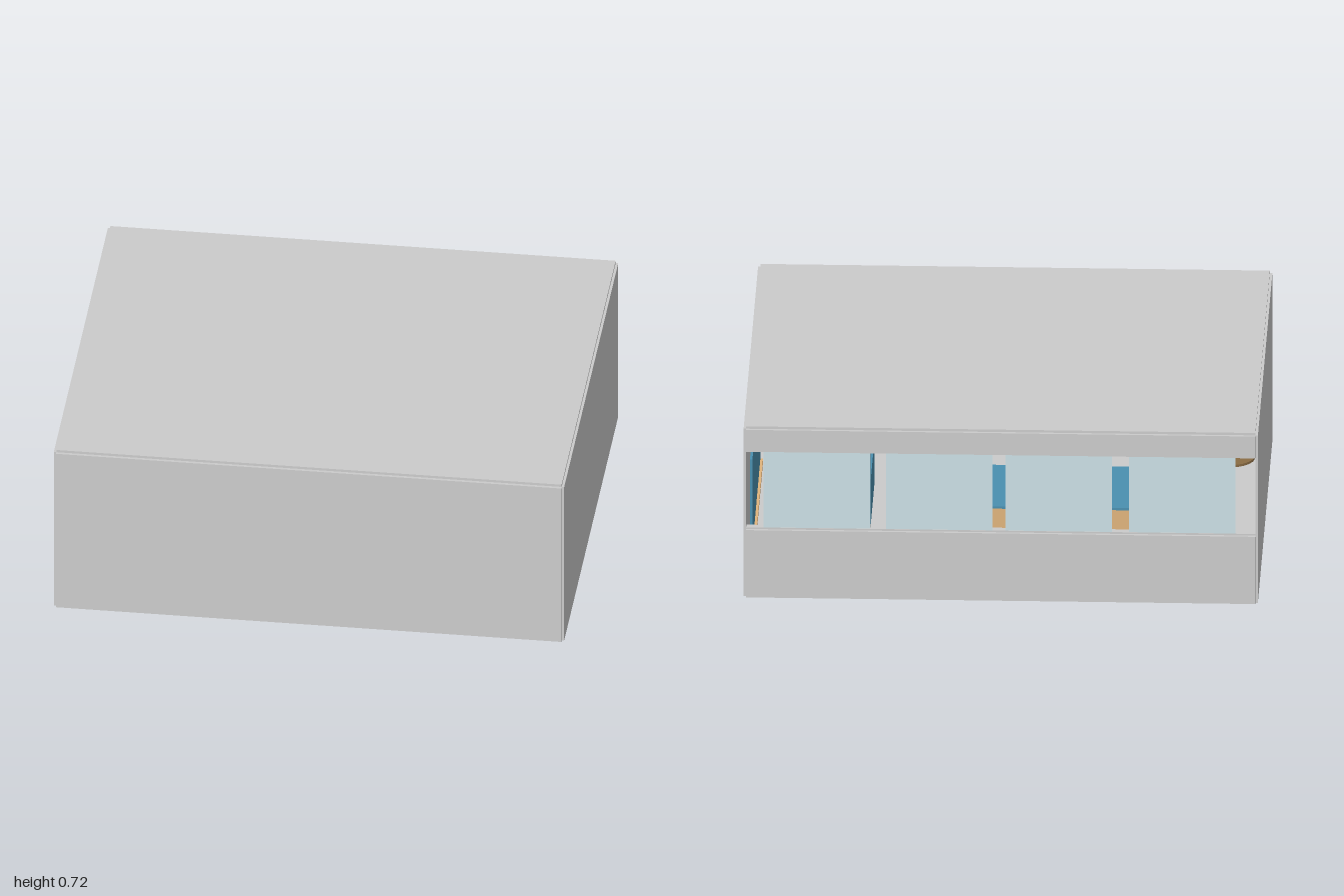
import * as THREE from 'three';

const paint = color => new THREE.MeshStandardMaterial({ color });
const GREY = paint(0xcccccc), GLASS = paint(0xcce0e6), WOOD = paint(0xe0b47c), BLUE = paint(0x4a90b0), RUG = paint(0x8a6c44);

export function createModel() {
  const room = new THREE.Group();
  room.name = 'room';

  // Box given by its lower and upper corner
  const box = (name, mat, [x0, y0, z0], [x1, y1, z1], parent = room) => {
    const mesh = new THREE.Mesh(new THREE.BoxGeometry(x1 - x0, y1 - y0, z1 - z0), mat);
    mesh.position.set((x0 + x1) / 2, (y0 + y1) / 2, (z0 + z1) / 2);
    mesh.name = name;
    parent.add(mesh);
    return mesh;
  };

  // Shell: each slab sits just inside its neighbours, leaving stepped edges
  box('floor', GREY, [-0.99, 0, -0.822], [0.99, 0.01, 0.822]);
  box('roof', GREY, [-0.99, 0.705, -0.822], [0.99, 0.715, 0.822]);
  box('leftWall', GREY, [0.99, 0, -0.822], [1, 0.705, 0.822]);
  box('rightWall', GREY, [-1, 0, -0.822], [-0.99, 0.705, 0.822]);
  box('frontWall', GREY, [-0.99, 0, 0.822], [0.99, 0.705, 0.834]);

  // Back wall with a window opening across its full width
  box('backWallLower', GREY, [-0.99, 0, -0.834], [0.99, 0.283, -0.822]);
  box('backWallUpper', GREY, [-0.99, 0.615, -0.834], [0.99, 0.705, -0.822]);

  // Four sliding panes on slim rails
  const windows = new THREE.Group();
  windows.name = 'windows';
  room.add(windows);
  box('bottomRail', GREY, [-0.99, 0.275, -0.822], [0.99, 0.29, -0.795], windows);
  box('topRail', GREY, [-0.99, 0.608, -0.822], [0.99, 0.622, -0.795], windows);
  for (const x of [-0.705, -0.225, 0.24, 0.715]) {
    box('windowPane', GLASS, [x - 0.207, 0.29, -0.82], [x + 0.207, 0.608, -0.8], windows);
  }

  // Low bench with a cushion, seen between the panes
  box('benchBase', WOOD, [-0.6, 0.01, -0.12], [0.42, 0.09, 0.3]);
  box('benchCushion', BLUE, [-0.6, 0.09, -0.12], [0.42, 0.1, 0.3]);

  // Cabinet and wall panel on the left side
  box('cabinet', BLUE, [0.53, 0.01, -0.1], [0.8, 0.2, 0.3]);
  box('wallPanel', BLUE, [0.98, 0.03, -0.4], [0.99, 0.4, 0.5]);
  box('skirting', WOOD, [0.97, 0.01, -0.4], [0.99, 0.03, 0.5]);

  // Round base let into the floor near the front right corner
  const base = new THREE.Mesh(new THREE.CylinderGeometry(0.1, 0.1, 0.02, 32), RUG);
  base.position.set(-0.84, 0.0095, 0.62);
  base.name = 'roundBase';
  room.add(base);

  return room;
}
